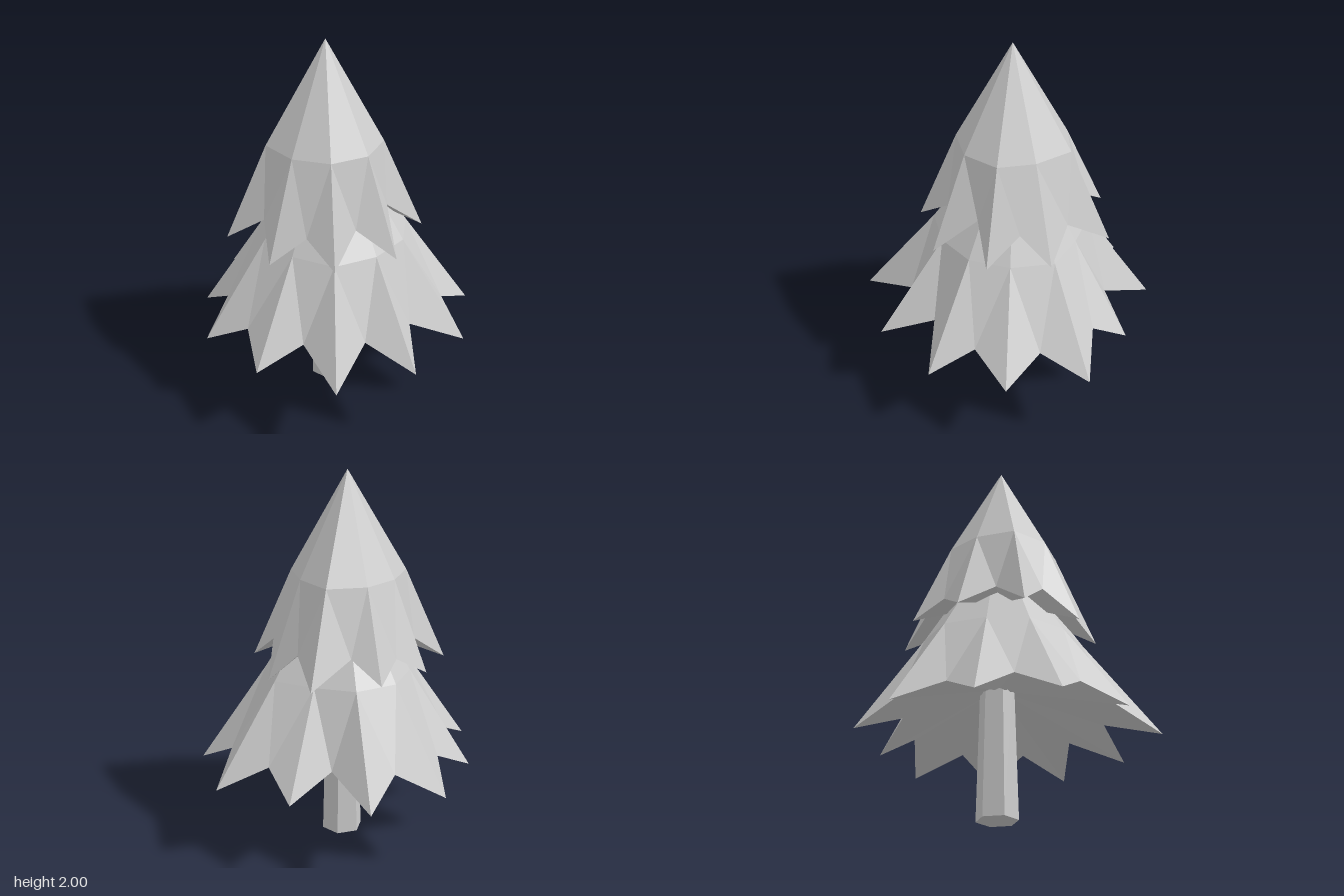
import * as THREE from 'three';

const treeGrey = new THREE.MeshStandardMaterial({ color: 0xcccccc, flatShading: true });

// One tier of foliage: apex cone, shoulder ring, then jagged skirt closed by a fan underneath.
// tips and valleys are [x, y, z], running clockwise as seen from above.
function foliageTier(name, { apex, hub, shoulderY, spread, tips, valleys }) {
  const pos = [];
  const face = (...corners) => corners.forEach((c) => pos.push(...c));
  const shoulders = tips.map(([x, , z]) => [
    apex[0] + (x - apex[0]) * spread,
    shoulderY,
    apex[2] + (z - apex[2]) * spread,
  ]);
  tips.forEach((tip, i) => {
    const j = (i + 1) % tips.length;
    const m1 = shoulders[i], m2 = shoulders[j], valley = valleys[i], next = tips[j];
    face(apex, m2, m1);       // upper cone
    face(m1, valley, tip);    // skirt, half of this point
    face(m1, m2, valley);     // skirt, between points
    face(m2, next, valley);   // skirt, half of the next point
    face(hub, tip, valley);   // underside
    face(hub, valley, next);
  });
  const geo = new THREE.BufferGeometry();
  geo.setAttribute('position', new THREE.Float32BufferAttribute(pos, 3));
  geo.computeVertexNormals();
  const mesh = new THREE.Mesh(geo, treeGrey);
  mesh.name = name;
  return mesh;
}

export function createModel() {
  const tree = new THREE.Group();
  tree.name = 'pineTree';

  // Six-sided trunk
  const trunk = new THREE.Mesh(new THREE.CylinderGeometry(0.088, 0.11, 0.8, 6), treeGrey);
  trunk.name = 'trunk';
  trunk.rotation.y = Math.PI / 6;
  trunk.position.set(-0.01, 0.4, 0);
  tree.add(trunk);

  // Wide lower tier with eleven points
  tree.add(foliageTier('lowerFoliage', {
    apex: [0, 1.6, 0], hub: [-0.01, 0.7, 0], shoulderY: 0.95, spread: 0.53,
    tips: [
      [0.17, 0.43, -0.76], [0.535, 0.43, -0.525], [0.75, 0.43, -0.165], [0.735, 0.44, 0.26],
      [0.525, 0.45, 0.65], [0.095, 0.45, 0.75], [-0.32, 0.44, 0.67], [-0.595, 0.43, 0.37],
      [-0.75, 0.43, -0.03], [-0.6, 0.43, -0.435], [-0.23, 0.43, -0.63],
    ],
    valleys: [
      [0.3, 0.55, -0.525], [0.53, 0.55, -0.28], [0.54, 0.55, 0.04], [0.465, 0.56, 0.33],
      [0.235, 0.57, 0.545], [-0.09, 0.56, 0.6], [-0.38, 0.56, 0.43], [-0.55, 0.54, 0.15],
      [-0.545, 0.55, -0.19], [-0.3, 0.56, -0.395], [-0.03, 0.56, -0.575],
    ],
  }));

  // Upper tier with nine points
  tree.add(foliageTier('upperFoliage', {
    apex: [-0.015, 2, 0.035], hub: [-0.01, 1.2, 0.02], shoulderY: 1.46, spread: 0.59,
    tips: [
      [0.125, 0.95, -0.415], [0.41, 0.98, -0.24], [0.485, 0.95, 0.095], [0.325, 0.96, 0.4],
      [0.01, 0.95, 0.53], [-0.335, 0.96, 0.46], [-0.47, 0.99, 0.14], [-0.45, 1.0, -0.19],
      [-0.23, 0.99, -0.47],
    ],
    valleys: [
      [0.22, 1.12, -0.28], [0.31, 1.14, -0.06], [0.3, 1.1, 0.195], [0.135, 1.08, 0.385],
      [-0.125, 1.11, 0.405], [-0.3, 1.11, 0.245], [-0.4, 1.09, -0.02], [-0.29, 1.12, -0.24],
      [-0.035, 1.11, -0.36],
    ],
  }));

  return tree;
}
